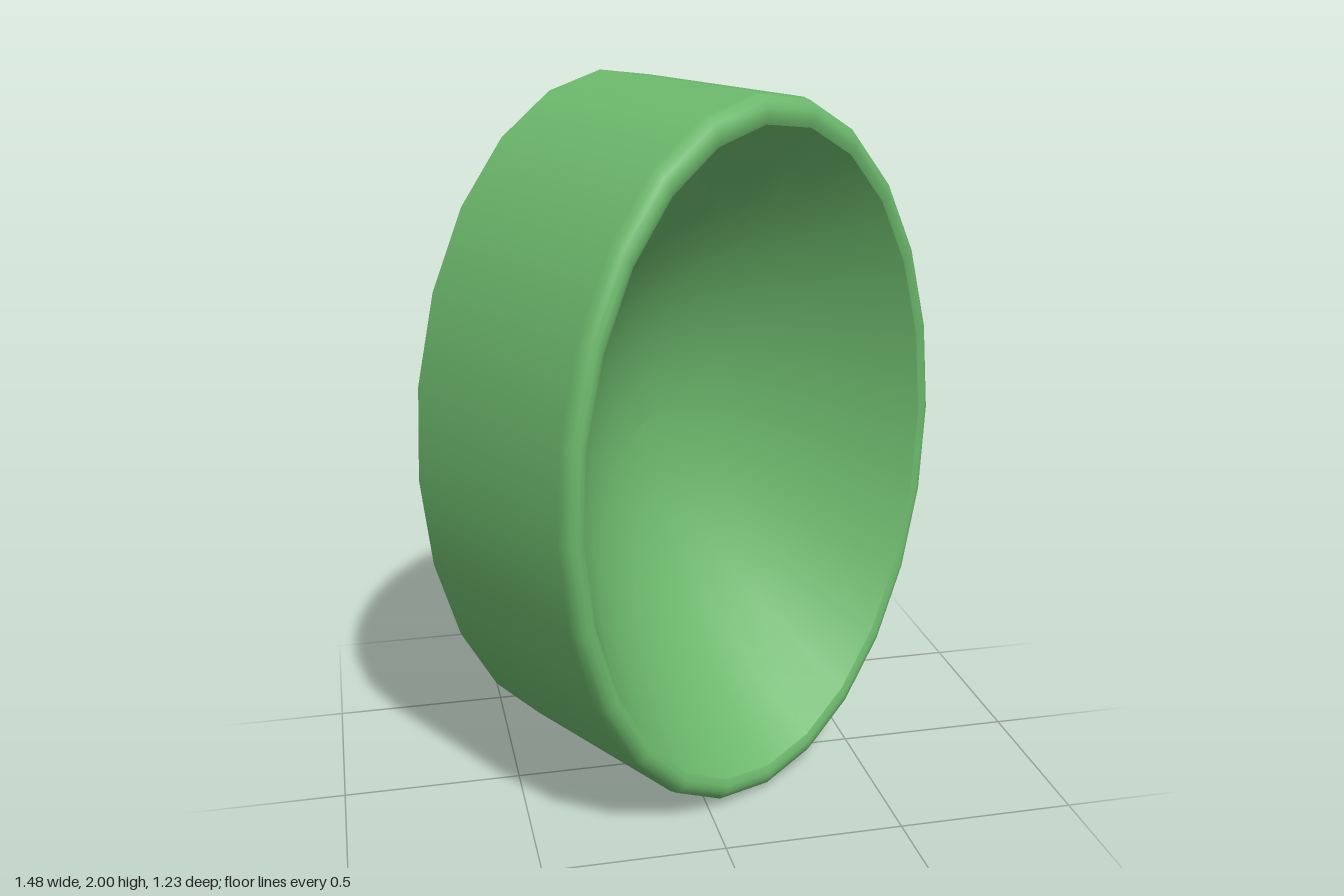
import * as THREE from 'three';

const SIDES = 24;
const BACK = -0.307;
const LIP_RADIUS = 0.925, LIP_DEPTH = 0.315;
const HOLLOW = 0.5;

// Profile [radius, depth] turned about the z axis, then squashed to an oval
function ovalLathe(profile) {
  const geometry = new THREE.LatheGeometry(profile.map(([r, d]) => new THREE.Vector2(r, d)), SIDES);
  geometry.rotateX(Math.PI / 2);
  geometry.scale(0.685, 0.993, 1);
  return geometry;
}

export function createModel() {
  const material = new THREE.MeshStandardMaterial({ color: 0x6cb86c });
  const dish = new THREE.Group();
  dish.name = 'ovalDish';
  const add = (name, geometry) => {
    const mesh = new THREE.Mesh(geometry, material);
    mesh.name = name;
    dish.add(mesh);
  };

  // Flat back
  add('backPlate', ovalLathe([[0, BACK], [1, BACK]]));

  // Straight outer wall rolling over into a rounded rim
  add('outerWallAndRim', ovalLathe([
    [1, BACK], [1, 0], [1, 0.275], [0.995, 0.297], [0.983, 0.312],
    [0.965, 0.321], [0.945, 0.323], [LIP_RADIUS, LIP_DEPTH],
  ]));

  // Smooth hollow front, curved like a reflector
  const hollow = [];
  for (let i = 0; i <= 10; i++) {
    const t = 1 - i / 10;
    hollow.push([LIP_RADIUS * t, LIP_DEPTH - HOLLOW * (1 - t * t)]);
  }
  add('innerHollow', ovalLathe(hollow));

  // Turned to one side, tipped slightly forward and rolled a little
  dish.rotation.set(0.027, THREE.MathUtils.degToRad(30.8), 0.055, 'YXZ');
  dish.position.y = 1;

  const model = new THREE.Group();
  model.name = 'model';
  model.add(dish);
  return model;
}
